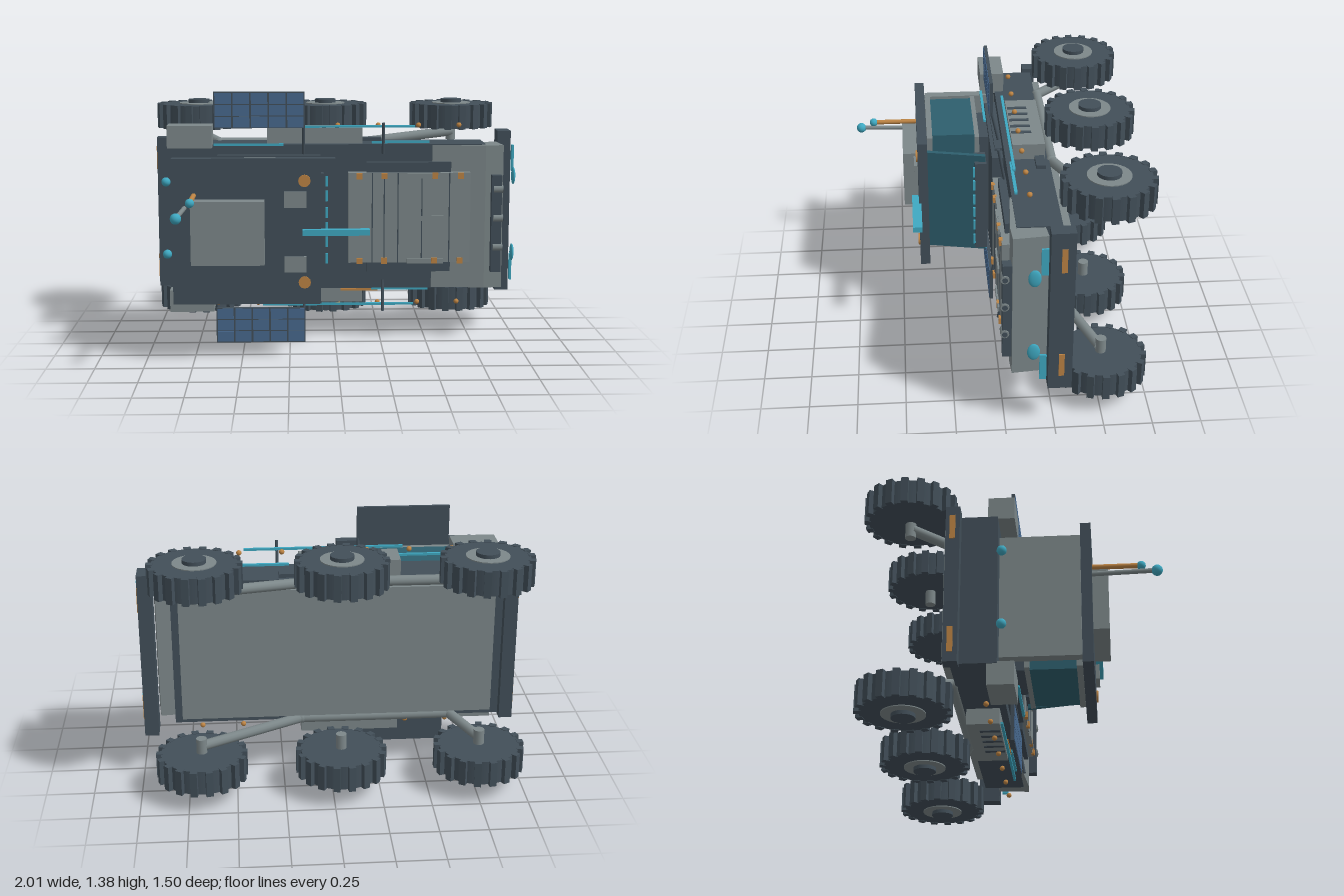
import * as THREE from 'three';

const paint = (name, color) => Object.assign(new THREE.MeshStandardMaterial({ color }), { name });

export function createModel() {
  const dark = paint('dark hull', 0x424f59);
  const grey = paint('light grey', 0x7d888a);
  const teal = paint('tinted glass', 0x2e5f6e);
  const cyan = paint('cyan lamp', 0x3fa9c2);
  const orange = paint('orange marker', 0xbd8444);
  const blue = paint('solar cell', 0x48698f);

  // The rover's wheels point to -z, its nose to +x, and it is symmetric in y.
  const model = new THREE.Group();
  model.name = 'rover';
  const root = new THREE.Group();
  root.name = 'roverBody';
  root.position.y = 0.69;
  model.add(root);

  const add = (name, geo, mat, x = 0, y = 0, z = 0, parent = root) => {
    const m = new THREE.Mesh(geo, mat);
    m.name = name;
    m.position.set(x, y, z);
    parent.add(m);
    return m;
  };
  const box = (name, mat, x0, x1, y0, y1, z0, z1) =>
    add(name, new THREE.BoxGeometry(x1 - x0, y1 - y0, z1 - z0), mat,
      (x0 + x1) / 2, (y0 + y1) / 2, (z0 + z1) / 2);
  const pair = (name, mat, x0, x1, y0, y1, z0, z1) => {
    box(name, mat, x0, x1, y0, y1, z0, z1);
    box(name, mat, x0, x1, -y1, -y0, z0, z1);
  };
  const rod = (name, mat, a, b, r) => {
    const p = new THREE.Vector3(...a), d = new THREE.Vector3(...b).sub(p);
    const m = add(name, new THREE.CylinderGeometry(r, r, d.length(), 12), mat);
    m.position.copy(p).addScaledVector(d, 0.5);
    m.quaternion.setFromUnitVectors(new THREE.Vector3(0, 1, 0), d.normalize());
    return m;
  };
  const ball = (name, mat, x, y, z, r) => add(name, new THREE.SphereGeometry(r, 16, 10), mat, x, y, z);
  // Closed prism: outline in x/z, swept across y
  const prism = (name, mat, pts, half) => {
    const shape = new THREE.Shape(pts.map(([x, z]) => new THREE.Vector2(x, -z)));
    const geo = new THREE.ExtrudeGeometry(shape, { depth: 2 * half, bevelEnabled: false });
    geo.rotateX(-Math.PI / 2).translate(0, -half, 0);
    return add(name, geo, mat);
  };

  // Hull, belly plate and bumpers
  box('hull', dark, -0.91, 0.82, -0.4, 0.4, -0.285, -0.06);
  box('bellyPlate', grey, -0.86, 0.78, -0.36, 0.36, -0.33, -0.28);
  prism('nose', grey, [[0.53, -0.062], [0.53, -0.15], [0.81, -0.2], [0.9, -0.21], [0.917, -0.035], [0.82, -0.03], [0.53, -0.05]], 0.395);
  box('frontBumper', dark, 0.908, 0.982, -0.45, 0.455, -0.33, -0.21);
  box('rearBumper', dark, -0.985, -0.915, -0.42, 0.42, -0.31, -0.24);
  pair('frontMarker', orange, 0.978, 0.988, 0.24, 0.37, -0.29, -0.262);
  pair('rearMarker', orange, -0.99, -0.98, 0.24, 0.37, -0.29, -0.262);
  pair('frontLightBar', cyan, 0.982, 0.994, 0.235, 0.38, -0.2, -0.165);
  for (const s of [1, -1]) {
    ball('headlight', cyan, 0.988, s * 0.215, -0.135, 1).scale.set(0.011, 0.048, 0.032);
    ball('rearLamp', cyan, -0.92, s * 0.2, -0.04, 0.025);
  }

  // Sensor bar on the nose
  box('sensorBar', dark, 0.85, 0.905, -0.3, 0.235, -0.035, 0.012);
  for (const y of [-0.16, 0, 0.16]) {
    rod('sensorKnob', grey, [0.86, y, 0], [0.912, y, 0], 0.022);
    rod('sensorLens', dark, [0.9, y, 0], [0.916, y, 0], 0.014);
  }

  // Cargo deck with seams, handles and bolts
  box('deckFrame', dark, 0.17, 0.63, -0.3, 0.305, -0.06, -0.02);
  box('cargoDeck', grey, 0.07, 0.735, -0.245, 0.25, -0.06, 0.002);
  for (const x of [0.2, 0.265, 0.34, 0.47, 0.62])
    box('deckSeam', dark, x - 0.003, x + 0.003, -0.245, 0.25, 0, 0.004);
  for (const y of [-0.235, 0, 0.235])
    box('deckHandle', grey, 0.39, 0.59, y - 0.014, y + 0.014, 0, 0.012);
  for (const x of [0.13, 0.265, 0.54, 0.68])
    pair('deckBolt', orange, x - 0.016, x + 0.016, 0.218, 0.25, -0.005, 0.014);

  // Cabin: floor, rear wall, frames, windows and windscreen
  box('cabinFloor', dark, -0.66, 0, -0.33, 0.33, -0.06, 0);
  box('cabinStep', dark, -0.64, -0.08, -0.345, 0.345, -0.06, -0.02);
  box('cabinRearWall', grey, -0.82, -0.765, -0.33, 0.33, -0.06, 0.34);
  box('cabinSill', grey, -0.73, -0.22, -0.345, 0.345, 0.055, 0.08);
  box('cabinHeader', grey, -0.73, -0.22, -0.345, 0.345, 0.31, 0.34);
  box('cabinBase', dark, -0.6, -0.3, -0.3, 0.3, 0, 0.055);
  box('cabinGlass', teal, -0.7, -0.25, -0.345, 0.345, 0.08, 0.31);
  prism('windscreen', teal, [[-0.175, 0.345], [-0.15, 0.345], [-0.085, 0.03], [-0.11, 0.03]], 0.295);
  box('dashboard', dark, -0.2, -0.065, -0.27, 0.26, 0.025, 0.088);
  for (const y of [-0.2, -0.11, -0.03, 0.05, 0.14, 0.22])
    box('dashLamp', cyan, -0.056, -0.042, y - 0.028, y + 0.028, 0.088, 0.1);

  // Roof and its equipment
  box('roof', dark, -0.85, -0.085, -0.38, 0.38, 0.342, 0.395);
  box('roofPod', grey, -0.75, -0.375, -0.16, 0.17, 0.395, 0.475);
  pair('roofVent', grey, -0.275, -0.16, 0.128, 0.21, 0.395, 0.415);
  box('roofLightBar', cyan, -0.18, 0.165, -0.015, 0.015, 0.382, 0.432);
  for (const s of [1, -1])
    rod('roofBeacon', orange, [-0.17, s * 0.265, 0.39], [-0.17, s * 0.265, 0.404], 0.032);
  rod('tallAntenna', grey, [-0.785, 0.125, 0.39], [-0.8, 0.125, 0.71], 0.012);
  ball('tallAntennaTip', cyan, -0.8, 0.125, 0.715, 0.028);
  rod('shortAntenna', orange, [-0.737, 0.19, 0.39], [-0.737, 0.19, 0.64], 0.013);
  ball('shortAntennaTip', cyan, -0.737, 0.19, 0.64, 0.023);

  // Side equipment, the same on both flanks
  pair('rearLocker', grey, -0.905, -0.665, 0.39, 0.51, -0.11, 0.022);
  pair('sidePod', grey, -0.37, 0.15, 0.395, 0.485, -0.265, -0.095);
  pair('podBracket', dark, 0.15, 0.26, 0.395, 0.42, -0.26, -0.21);
  for (let i = 0; i < 5; i++) {
    const x = -0.273 + i * 0.071;
    pair('podSlot', dark, x - 0.012, x + 0.012, 0.481, 0.488, -0.205, -0.1);
  }
  pair('upperRail', cyan, -0.4, 0.435, 0.489, 0.501, -0.088, -0.074);
  pair('lowerRail', cyan, 0.2, 0.515, 0.403, 0.415, -0.092, -0.076);
  pair('cabinRail', cyan, -0.655, -0.28, 0.403, 0.415, 0.014, 0.028);
  box('toolRod', orange, 0.03, 0.235, -0.421, -0.408, -0.1, -0.085);
  for (const s of [1, -1]) {
    for (let i = 0; i < 7; i++)
      ball('sideBolt', orange, -0.65 + i * 0.222, s * 0.497, -0.135, 0.014);
    rod('railStrut', dark, [0.26, s * 0.35, -0.045], [0.26, s * 0.52, -0.015], 0.008);
    rod('panelHinge', dark, [-0.172, s * 0.35, -0.045], [-0.172, s * 0.52, -0.008], 0.008);
  }

  // Solar wings
  pair('solarPanel', dark, -0.655, -0.165, 0.495, 0.69, -0.016, 0.002);
  for (let c = 0; c < 5; c++)
    for (let r = 0; r < 3; r++) {
      const x = -0.651 + c * 0.0972, y = 0.499 + r * 0.0635;
      pair('solarCell', blue, x + 0.003, x + 0.091, y, y + 0.058, 0.001, 0.005);
    }

  // Wheels with lugs and stepped hubs
  const tyre = new THREE.CylinderGeometry(0.212, 0.212, 0.13, 36);
  const lug = new THREE.BoxGeometry(0.034, 0.136, 0.036);
  const rim = new THREE.CylinderGeometry(0.11, 0.11, 0.008, 28);
  const cap = new THREE.CylinderGeometry(0.06, 0.06, 0.026, 24);
  const stub = new THREE.CylinderGeometry(0.028, 0.028, 0.09, 14);
  for (const s of [1, -1]) {
    for (const x of [-0.77, -0.045, 0.68]) {
      const wheel = new THREE.Group();
      wheel.name = 'wheel';
      wheel.position.set(x, s * 0.522, -0.518);
      root.add(wheel);
      add('tyre', tyre, dark, 0, 0, 0, wheel);
      for (let i = 0; i < 18; i++) {
        const a = (i / 18) * Math.PI * 2;
        add('lug', lug, dark, 0.219 * Math.cos(a), 0, -0.219 * Math.sin(a), wheel).rotation.y = a;
      }
      add('rim', rim, grey, 0, s * 0.066, 0, wheel);
      add('hubCap', cap, dark, 0, s * 0.077, 0, wheel);
      add('axle', stub, grey, 0, -s * 0.1, 0, wheel);
    }
    // Rocker arm from front axle along the belly to the rear axle
    const path = [[0.68, 0.425, -0.51], [0.15, 0.385, -0.3], [-0.64, 0.385, -0.3], [-0.77, 0.425, -0.51]]
      .map(([x, y, z]) => [x, s * y, z]);
    for (let i = 0; i < 3; i++) rod('rockerArm', grey, path[i], path[i + 1], 0.027);
    for (const p of path.slice(1, 3)) ball('rockerJoint', grey, ...p, 0.03);
  }
  return model;
}
